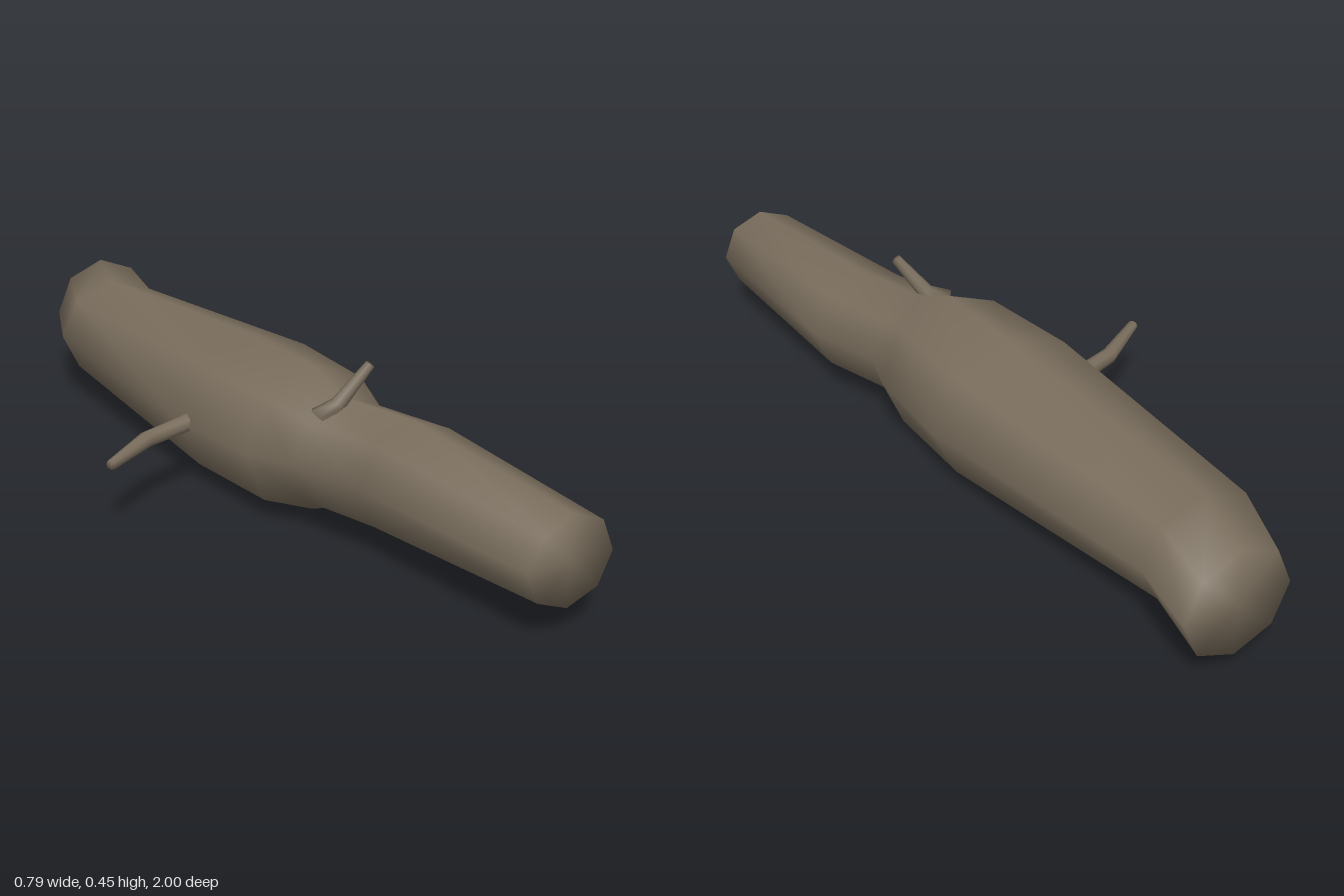
import * as THREE from 'three';

const SIDES = 8;

// Closed, smoothly shaded tube through sections [x, y, z, radiusAcross, radiusUp].
// A fixed direction keeps all rings parallel; otherwise rings follow the path.
function loft(sections, up, fixedDir) {
  const pos = [], idx = [];
  const points = sections.map(s => new THREE.Vector3(s[0], s[1], s[2]));
  const last = sections.length - 1;
  sections.forEach((s, i) => {
    const d = fixedDir ? fixedDir.clone()
      : points[Math.min(i + 1, last)].clone().sub(points[Math.max(i - 1, 0)]).normalize();
    const u = d.clone().cross(up).normalize();
    const v = u.clone().cross(d);
    for (let j = 0; j < SIDES; j++) {
      const a = j / SIDES * Math.PI * 2;
      const p = points[i].clone()
        .addScaledVector(u, Math.cos(a) * s[3])
        .addScaledVector(v, Math.sin(a) * s[4]);
      pos.push(p.x, p.y, p.z);
    }
  });
  // end centres for the caps
  const c0 = pos.length / 3, c1 = c0 + 1;
  pos.push(...points[0].toArray(), ...points[last].toArray());
  for (let j = 0; j < SIDES; j++) {
    const k = (j + 1) % SIDES;
    for (let i = 0; i < last; i++) {
      const a = i * SIDES, b = a + SIDES;
      idx.push(a + j, b + j, a + k, a + k, b + j, b + k);
    }
    idx.push(c0, j, k, c1, last * SIDES + k, last * SIDES + j);
  }
  const g = new THREE.BufferGeometry();
  g.setAttribute('position', new THREE.Float32BufferAttribute(pos, 3));
  g.setIndex(idx);
  g.computeVertexNormals();
  return g;
}

export function createModel() {
  const group = new THREE.Group();
  group.name = 'fallenLog';
  const bark = new THREE.MeshStandardMaterial({ color: 0x7a6e5d });
  bark.name = 'bark';

  const add = (name, geometry) => {
    const mesh = new THREE.Mesh(geometry, bark);
    mesh.name = name;
    group.add(mesh);
  };

  // crooked trunk, front to back
  add('trunk', loft([
    [0.273, 0.2, 1, 0.118, 0.116],
    [0.21, 0.2, 0.48, 0.15, 0.15],
    [0.14, 0.2, 0.28, 0.15, 0.15],
    [0.122, 0.2, 0.17, 0.197, 0.198],
    [0.097, 0.2, -0.1, 0.224, 0.198],
    [0.025, 0.2, -0.8, 0.165, 0.143],
    [0.078, 0.2, -1, 0.143, 0.143],
  ], new THREE.Vector3(0, 1, 0), new THREE.Vector3(0, 0, -1)));

  // bent side branch
  add('sideBranch', loft([
    [-0.05, 0.2, -0.1, 0.055, 0.04],
    [-0.12, 0.2, -0.07, 0.024, 0.022],
    [-0.25, 0.2, -0.028, 0.021, 0.021],
    [-0.392, 0.2, 0.067, 0.014, 0.013],
  ], new THREE.Vector3(0, 1, 0)));

  // short stub on top, flared where it leaves the trunk
  add('topBranch', loft([
    [0.085, 0.305, 0.285, 0.05, 0.03],
    [0.115, 0.346, 0.298, 0.021, 0.018],
    [0.181, 0.447, 0.33, 0.013, 0.012],
  ], new THREE.Vector3(0, 0, 1)));

  return group;
}
